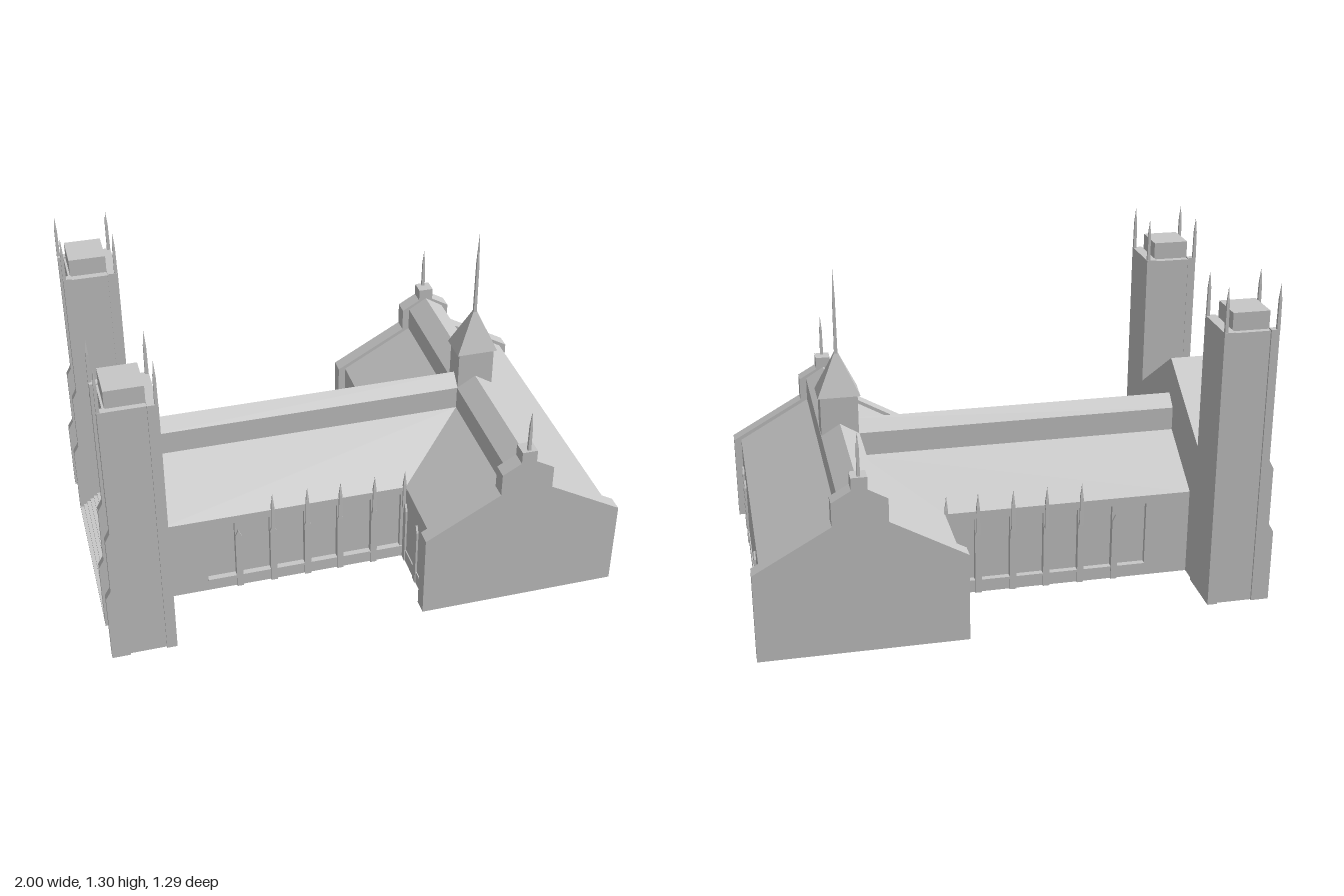
import * as THREE from 'three';

const stone = new THREE.MeshStandardMaterial({ color: 0xc8c8c8, side: THREE.DoubleSide, flatShading: true });
stone.name = 'pale grey stone';

function add(parent, name, geometry) {
  const mesh = new THREE.Mesh(geometry, stone);
  mesh.name = name;
  parent.add(mesh);
  return mesh;
}

// Box given by its two extreme corners
function box(parent, name, x0, x1, y0, y1, z0, z1) {
  const g = new THREE.BoxGeometry(Math.abs(x1 - x0), Math.abs(y1 - y0), Math.abs(z1 - z0));
  return add(parent, name, g.translate((x0 + x1) / 2, (y0 + y1) / 2, (z0 + z1) / 2));
}

// Flat four-cornered face
function quad(parent, name, a, b, c, d) {
  const g = new THREE.BufferGeometry();
  g.setAttribute('position', new THREE.Float32BufferAttribute([a, b, c, a, c, d].flat(), 3));
  g.computeVertexNormals();
  return add(parent, name, g);
}

const outline = pts => new THREE.Shape(pts.map(p => new THREE.Vector2(...p)));
const rect = (u0, u1, v0, v1) => outline([[u0, v0], [u1, v0], [u1, v1], [u0, v1]]);
const extrude = (shape, depth) => new THREE.ExtrudeGeometry(shape, { depth, bevelEnabled: false, curveSegments: 8 });

// Plate with its outline in z and y, from x0 to x1
const plateX = (shape, x0, x1) => extrude(shape, x1 - x0).rotateY(-Math.PI / 2).translate(x1, 0, 0);

// Pointed arch opening
function arch(u, v, w, h) {
  const s = new THREE.Shape();
  const spring = v + h - w * 0.75;
  s.moveTo(u - w / 2, v);
  s.lineTo(u + w / 2, v);
  s.lineTo(u + w / 2, spring);
  s.quadraticCurveTo(u + w / 2, v + h - w * 0.2, u, v + h);
  s.quadraticCurveTo(u - w / 2, v + h - w * 0.2, u - w / 2, spring);
  return s;
}

// Slim square spike with a sharp tip
function spike(parent, name, x, y0, y1, z, r) {
  const y = y0 + (y1 - y0) * 0.65;
  const shaft = new THREE.CylinderGeometry(r * 0.8, r, y - y0, 4, 1).rotateY(Math.PI / 4);
  add(parent, name, shaft.translate(x, (y0 + y) / 2, z));
  const tip = new THREE.ConeGeometry(r * 0.8, y1 - y, 4).rotateY(Math.PI / 4);
  add(parent, name + 'Tip', tip.translate(x, (y + y1) / 2, z));
}

const pilaster = (u, w) => outline([[u - w / 2, 0.01], [u + w / 2, 0.01], [u + w / 2, 0.265], [u, 0.295], [u - w / 2, 0.265]]);

function buildNave(root) {
  const nave = new THREE.Group();
  nave.name = 'nave';
  root.add(nave);
  const piers = [-0.445, -0.305, -0.165, -0.03, 0.11];
  const edges = [-0.585, ...piers, 0.235];
  for (const s of [1, -1]) {
    // Side wall with recessed bays
    const wall = rect(-0.75, 0.24, 0.01, 0.365);
    for (let i = 0; i < 6; i++) wall.holes.push(rect(edges[i] + 0.013, edges[i + 1] - 0.013, 0.065, 0.33));
    add(nave, 'sideWall', extrude(wall, 0.02).translate(0, 0, s > 0 ? 0.28 : -0.3));
    quad(nave, 'bayPanels', [-0.6, 0.03, s * 0.281], [0.24, 0.03, s * 0.281], [0.24, 0.345, s * 0.281], [-0.6, 0.345, s * 0.281]);
    box(nave, 'sill', -0.572, 0.24, 0.055, 0.065, s * 0.3, s * 0.305);
    // Pilasters and their pinnacles
    for (const x of piers) add(nave, 'pilaster', extrude(pilaster(x, 0.026), 0.008).translate(0, 0, s > 0 ? 0.3 : -0.308));
    for (const x of [...piers.slice(1), 0.235]) spike(nave, 'pinnacle', x, 0.265, 0.445, s * 0.302, 0.011);
    // Aisle roof, clerestory and upper roof, cut along the valley
    const z = s * 0.05;
    quad(nave, 'aisleRoof', [-0.75, 0.365, s * 0.302], [0.24, 0.365, s * 0.302], [0.53, 0.53, z], [-0.75, 0.53, z]);
    quad(nave, 'clerestory', [-0.75, 0.53, z], [0.53, 0.53, z], [0.53, 0.625, z], [-0.75, 0.625, z]);
    quad(nave, 'upperRoof', [-0.75, 0.625, z], [0.53, 0.625, z], [0.605, 0.672, 0], [-0.75, 0.672, 0]);
  }
}

function buildTransept(root) {
  const t = new THREE.Group();
  t.name = 'transept';
  root.add(t);
  const cx = 0.605;
  // Stepped gable profile, mirrored about the ridge
  const half = [[0.395, 0.01], [0.395, 0.365], [0.103, 0.53], [0.103, 0.623], [0.03, 0.665], [0.03, 0.714]];
  const gable = outline([...half.map(([x, y]) => [cx + x, y]), ...half.slice().reverse().map(([x, y]) => [cx - x, y])]);
  for (const s of [1, -1]) {
    add(t, 'gableEnd', extrude(gable, 0.06).translate(0, 0, s > 0 ? 0.585 : -0.645));
    spike(t, 'gableFinial', cx, 0.71, 0.885, s * 0.63, 0.009);
    for (const e of [1, -1]) {
      const X = d => cx + e * d;
      // The west side stops at the nave valley
      const z0 = e > 0 ? 0 : s * 0.3, z1 = e > 0 ? 0 : s * 0.05, z2 = s * 0.585;
      quad(t, 'sideWall', [X(0.365), 0.01, z0], [X(0.365), 0.01, z2], [X(0.365), 0.365, z2], [X(0.365), 0.365, z0]);
      quad(t, 'lowerRoof', [X(0.365), 0.365, z0], [X(0.365), 0.365, z2], [X(0.075), 0.53, z2], [X(0.075), 0.53, z1]);
      quad(t, 'clerestory', [X(0.075), 0.53, z1], [X(0.075), 0.53, z2], [X(0.075), 0.625, z2], [X(0.075), 0.625, z1]);
      quad(t, 'upperRoof', [X(0.075), 0.625, z1], [X(0.075), 0.625, z2], [cx, 0.672, z2], [cx, 0.672, 0]);
      const xa = Math.min(X(0.365), X(0.373));
      for (const z of [0.32, 0.46]) add(t, 'pilaster', plateX(pilaster(s * z, 0.03), xa, xa + 0.008));
      box(t, 'plinth', X(0.365), X(0.369), 0.01, 0.065, z0, z2);
    }
  }
}

function buildSpire(root) {
  const g = new THREE.Group();
  g.name = 'crossingSpire';
  root.add(g);
  box(g, 'spireBase', 0.532, 0.678, 0.53, 0.785, -0.05, 0.05);
  const cap = new THREE.ConeGeometry(Math.SQRT1_2, 0.18, 4).rotateY(Math.PI / 4).scale(0.166, 1, 0.122);
  add(g, 'spireRoof', cap.translate(0.605, 0.875, 0));
  spike(g, 'spireNeedle', 0.605, 0.935, 1.295, 0, 0.009);
}

// Tower built on the +z side, then mirrored for the other
function buildTower(root, s) {
  const t = new THREE.Group();
  t.name = s > 0 ? 'leftTower' : 'rightTower';
  root.add(t);
  const Z = (a, b) => [s * a, s * b];
  box(t, 'towerShaft', -0.94, -0.755, 0, 1.12, ...Z(0.362, 0.562));
  box(t, 'towerBackPier', -0.79, -0.75, 0, 1.125, ...Z(0.36, 0.57));
  box(t, 'towerCap', -0.932, -0.79, 1.12, 1.19, ...Z(0.39, 0.54));
  // Stepped corner buttresses on the entrance side
  const profile = outline([[-1, 0], [-0.93, 0], [-0.93, 1.125], [-0.962, 1.125], [-0.962, 0.6], [-0.98, 0.565], [-0.98, 0.33], [-1, 0.295]]);
  for (const z of [0.36, 0.542]) {
    add(t, 'towerButtress', extrude(profile, 0.028).translate(0, 0, s > 0 ? z : -z - 0.028));
  }
  for (const x of [-0.957, -0.757]) {
    for (const z of [0.367, 0.563]) spike(t, 'towerPinnacle', x, 1.12, 1.3, s * z, 0.009);
  }
}

function buildFacade(root) {
  const f = new THREE.Group();
  f.name = 'entranceFacade';
  root.add(f);
  const gable = () => outline([[-0.362, 0.01], [0.362, 0.01], [0.362, 0.575], [0, 0.81], [-0.362, 0.575]]);
  // Upper wall with the great window
  const wall = gable();
  wall.holes.push(arch(0, 0.38, 0.2, 0.33));
  add(f, 'facadeWall', plateX(wall, -0.87, -0.845));
  add(f, 'windowPanel', plateX(rect(-0.12, 0.12, 0.36, 0.72), -0.845, -0.84));
  add(f, 'rearGable', plateX(gable(), -0.755, -0.75));
  // Lower storey with three doorways
  const porch = rect(-0.362, 0.362, 0.01, 0.33);
  for (const z of [-0.22, 0, 0.22]) porch.holes.push(arch(z, 0.085, z ? 0.09 : 0.12, z ? 0.14 : 0.18));
  add(f, 'porchWall', plateX(porch, -0.895, -0.87));
  // Gabled roof slab
  const roof = outline([[-0.362, 0.585], [0, 0.822], [0.362, 0.585], [0.362, 0.565], [0, 0.802], [-0.362, 0.565]]);
  add(f, 'facadeRoof', plateX(roof, -0.912, -0.75));
  // Entrance steps
  for (let i = 0; i < 7; i++) {
    box(f, 'step', -1 + i * 0.015, -0.88, i * 0.012, (i + 1) * 0.012, -0.36, 0.36);
  }
}

export function createModel() {
  const root = new THREE.Group();
  root.name = 'church';
  buildNave(root);
  buildTransept(root);
  buildSpire(root);
  buildTower(root, 1);
  buildTower(root, -1);
  buildFacade(root);
  return root;
}
